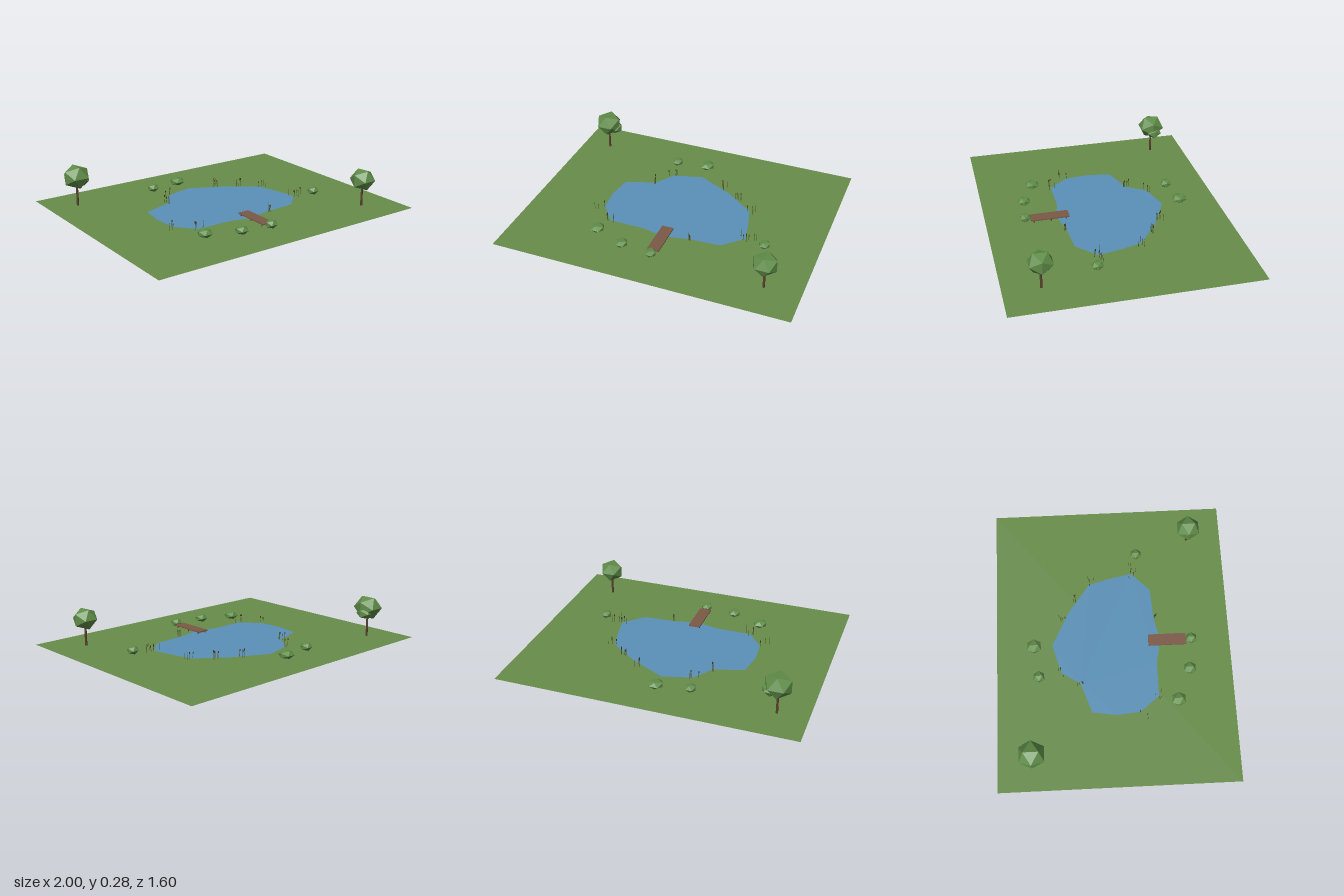
import * as THREE from 'three';

const mat = (name, color, side = THREE.FrontSide) =>
  new THREE.MeshStandardMaterial({ name, color, side, flatShading: true });

export function createModel() {
  const grass = mat('grass', 0x688d4a, THREE.DoubleSide);
  const water = mat('water', 0x5a91b8, THREE.DoubleSide);
  const leaf = mat('leaf', 0x5f8c48);
  const bark = mat('bark', 0x5a3f2e);
  const plank = mat('plank', 0x7c5a47);
  const reed = mat('reed', 0x56622f);
  const cattail = mat('cattail', 0x4a3522);

  const GROUND = 0.009;
  const model = new THREE.Group();
  model.name = 'pondScene';

  const add = (parent, name, geometry, material, x, y, z) => {
    const mesh = new THREE.Mesh(geometry, material);
    mesh.name = name;
    mesh.position.set(x, y, z);
    parent.add(mesh);
    return mesh;
  };
  const group = (name) => {
    const g = new THREE.Group();
    g.name = name;
    model.add(g);
    return g;
  };

  // Faceted leafy ball, squashed vertically
  const ball = new THREE.IcosahedronGeometry(1, 0).rotateY(Math.PI / 2);
  const clump = (parent, name, x, y, z, r, ry) =>
    add(parent, name, ball, leaf, x, y, z).scale.set(r, ry, r);

  // Ground sheet
  add(model, 'ground', new THREE.PlaneGeometry(2, 1.6).rotateX(-Math.PI / 2), grass, 0, GROUND, 0);

  // Pond outline as x, z points
  const shore = [
    [0, -0.42], [-0.2, -0.365], [-0.285, -0.235], [-0.49, -0.165], [-0.515, 0],
    [-0.5, 0.16], [-0.395, 0.29], [-0.155, 0.29], [0, 0.325], [0.155, 0.29],
    [0.38, 0.275], [0.51, 0.15], [0.48, 0], [0.44, -0.15], [0.245, -0.295],
  ];
  const pond = new THREE.Shape(shore.map(([x, z]) => new THREE.Vector2(x, -z)));
  add(model, 'pond', new THREE.ShapeGeometry(pond).rotateX(-Math.PI / 2), water, 0, GROUND + 0.002, 0);

  // Trees: trunk and crown
  const tree = (x, z, crownY, r, ry) => {
    const g = group('tree');
    const top = crownY - ry * 0.6;
    add(g, 'trunk', new THREE.CylinderGeometry(0.007, 0.008, top - 0.006, 6), bark, x, (top + 0.006) / 2, z);
    clump(g, 'crown', x, crownY, z, r, ry);
    return g;
  };
  const bigTree = tree(-0.8, -0.562, 0.212, 0.096, 0.085);
  clump(bigTree, 'sideCrown', -0.756, 0.18, -0.573, 0.058, 0.043);
  tree(0.76, 0.56, 0.193, 0.087, 0.077);

  // Bushes: x, z, radius
  const bushes = group('bushes');
  for (const [x, z, r] of [
    [-0.23, -0.515, 0.042], [-0.01, -0.545, 0.055], [-0.43, 0.42, 0.052],
    [-0.215, 0.51, 0.046], [0, 0.535, 0.041], [0.65, 0.19, 0.041],
  ]) clump(bushes, 'bush', x, 0.035, z, r, 0.029);

  // Jetty deck on posts
  const jetty = group('jetty');
  add(jetty, 'deck', new THREE.BoxGeometry(0.08, 0.008, 0.26), plank, 0, 0.027, 0.37);
  for (const z of [0.26, 0.365, 0.48]) {
    for (const x of [-0.032, 0.032]) {
      add(jetty, 'post', new THREE.CylinderGeometry(0.004, 0.004, 0.025, 6), bark, x, 0.0125, z);
    }
  }

  // Reed clusters round the shore: x, z, count
  let seed = 7;
  const rand = () => (seed = (seed * 16807) % 2147483647) / 2147483647;
  const reeds = group('reeds');
  const stem = new THREE.CylinderGeometry(0.0014, 0.002, 1, 4);
  const head = new THREE.CylinderGeometry(0.003, 0.003, 0.013, 5);
  for (const [cx, cz, count] of [
    [-0.2, -0.37, 4], [-0.31, -0.235, 5], [0.18, -0.345, 5], [0.32, -0.25, 5],
    [0.455, -0.14, 4], [0.5, 0.16, 4], [0.555, 0.15, 3], [-0.535, 0.18, 2],
    [-0.49, 0.17, 1], [-0.39, 0.285, 4], [0.155, 0.3, 4],
  ]) {
    for (let i = 0; i < count; i++) {
      const x = cx + (rand() - 0.5) * 0.06;
      const z = cz + (rand() - 0.5) * 0.05;
      const h = 0.045 + rand() * 0.02;
      const tilt = (rand() - 0.5) * 0.16;
      const plant = new THREE.Group();
      plant.name = 'reedPlant';
      plant.position.set(x, 0.006, z);
      plant.rotation.set(tilt, 0, -tilt);
      add(plant, 'stem', stem, reed, 0, h / 2, 0).scale.y = h;
      if (i % 2 === 0) add(plant, 'cattailHead', head, cattail, 0, h - 0.006, 0);
      reeds.add(plant);
    }
  }
  return model;
}
